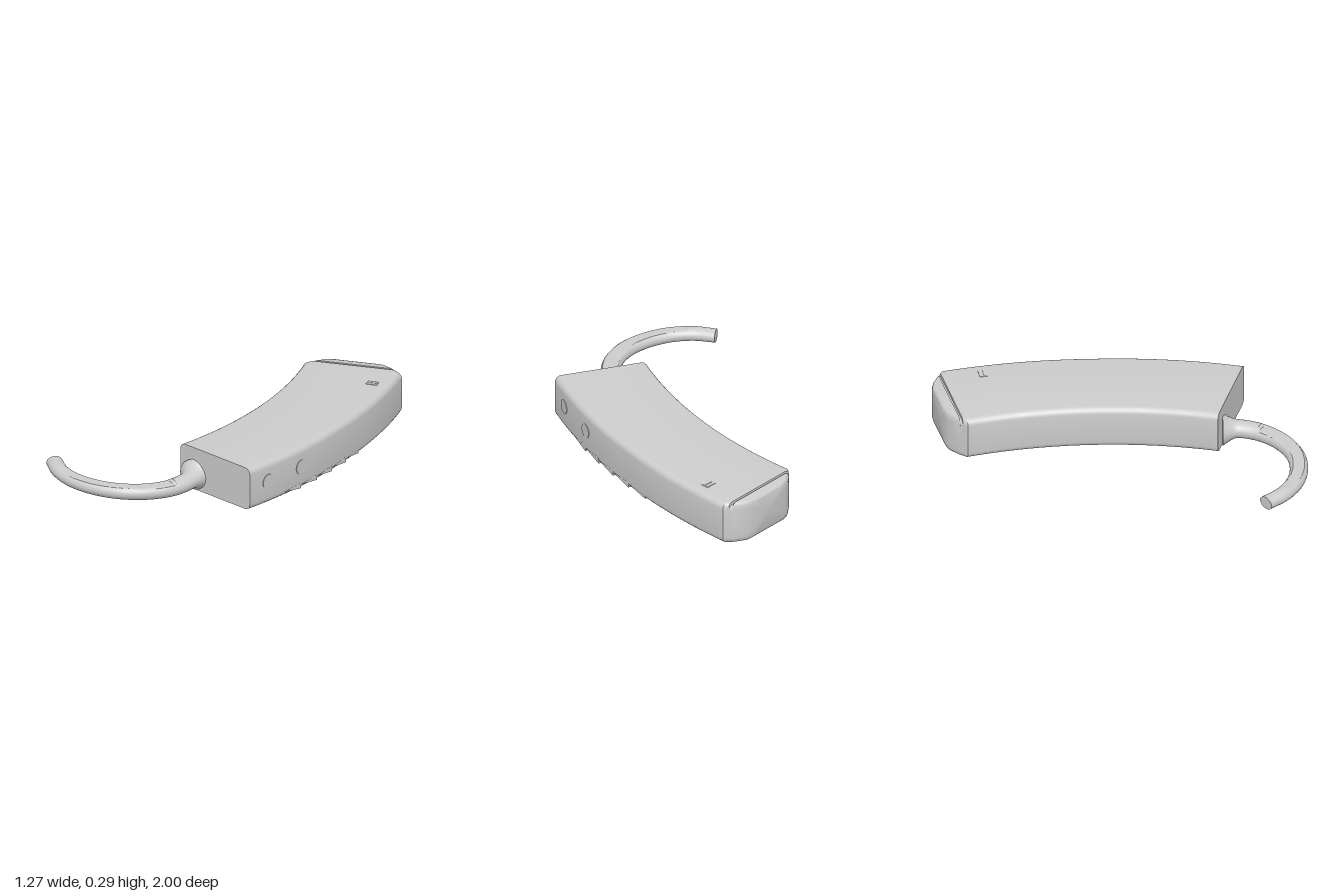
import * as THREE from 'three';
import { toCreasedNormals } from 'three/addons/utils/BufferGeometryUtils.js';

const CX = -2.42, CZ = -0.17;          // centre of the body's bend
const R_IN = 2.53, R_OUT = 3.05;       // inner and outer bend radii
const PHI_BACK = -0.257, PHI_FRONT = 0.274;
const topY = z => 0.273 + 0.0325 * z;  // the body slopes down to the back
const HEIGHT = 0.24;

const material = new THREE.MeshStandardMaterial({ color: 0xcccccc });

function add(group, name, geometry) {
  const mesh = new THREE.Mesh(geometry, material);
  mesh.name = name;
  group.add(mesh);
  return mesh;
}

// Skin a list of equal-length rings and close both ends
function loft(rings, crease = 0.6) {
  const n = rings[0].length, pos = [];
  const tri = (...pts) => pts.forEach(p => pos.push(p.x, p.y, p.z));
  for (let i = 0; i < rings.length - 1; i++) {
    for (let j = 0; j < n; j++) {
      const k = (j + 1) % n, a = rings[i], b = rings[i + 1];
      tri(a[j], a[k], b[k]);
      tri(a[j], b[k], b[j]);
    }
  }
  const cap = (ring, flip) => {
    const c = ring.reduce((s, p) => s.add(p), new THREE.Vector3()).divideScalar(n);
    ring.forEach((p, j) => {
      const q = ring[(j + 1) % n];
      flip ? tri(c, q, p) : tri(c, p, q);
    });
  };
  cap(rings[0], true);
  cap(rings[rings.length - 1], false);
  const g = new THREE.BufferGeometry();
  g.setAttribute('position', new THREE.Float32BufferAttribute(pos, 3));
  return toCreasedNormals(g, crease);
}

// Rounded rectangle across the bend; "back" moves it straight on past the back end
function section(phi, { back = 0, inset = 0, drop = 0, lift = 0, radius = 0.035 } = {}) {
  const lo = R_IN + inset;
  const hi = R_OUT + 0.02 * Math.max(0, phi / PHI_BACK) - inset;
  const ring = [], steps = 5;
  const corners = [[hi, 1, 0], [lo, -1, 0], [lo, -1, 1], [hi, 1, 1]];
  corners.forEach(([r, side, low], q) => {
    for (let s = 0; s <= steps; s++) {
      const a = (q + s / steps) * Math.PI / 2;
      const rr = r - side * radius + radius * Math.cos(a);
      const x = CX + rr * Math.cos(phi) + back * Math.sin(phi);
      const z = CZ + rr * Math.sin(phi) - back * Math.cos(phi);
      const base = low ? topY(z) - HEIGHT + lift + radius : topY(z) - drop - radius;
      ring.push(new THREE.Vector3(x, base + radius * Math.sin(a), z));
    }
  });
  return ring;
}

// Place something on the outer side of the body
function onOuterSide(mesh, z, y, r) {
  const phi = Math.asin((z - CZ) / R_OUT);
  mesh.position.set(CX + r * Math.cos(phi), y, CZ + r * Math.sin(phi));
  mesh.rotation.y = -phi;
}

export function createModel() {
  const model = new THREE.Group();
  model.name = 'hearingDevice';

  // Curved body
  const bodyRings = [];
  for (let i = 0; i <= 32; i++) {
    bodyRings.push(section(PHI_BACK + (PHI_FRONT - PHI_BACK) * i / 32));
  }
  add(model, 'body', loft(bodyRings));

  // Back cap with chamfered corners and a groove across the top
  const capRings = [
    { back: 0.092, inset: 0.135, drop: 0.012, lift: 0.03 },
    { back: 0.085, inset: 0.115, drop: 0.004, lift: 0.014 },
    { back: 0.072, inset: 0.088, lift: 0.004 },
    { back: 0.034, inset: 0.036 },
    { back: 0.033, inset: 0.035, drop: 0.015 },
    { back: 0.021, inset: 0.021, drop: 0.015 },
    { back: 0.02, inset: 0.02 },
    { back: 0, inset: 0 },
  ].map(o => section(PHI_BACK, o));
  add(model, 'backCap', loft(capRings));

  // Ear hook: flared at the body, with a flat cut along its top
  const path = new THREE.CatmullRomCurve3([
    [0.125, 0.135, 0.54], [0.128, 0.135, 0.63], [0.095, 0.133, 0.74], [0.01, 0.133, 0.845],
    [-0.12, 0.135, 0.922], [-0.265, 0.136, 0.946], [-0.41, 0.138, 0.922],
    [-0.525, 0.14, 0.858], [-0.608, 0.14, 0.77],
  ].map(p => new THREE.Vector3(...p)));
  const up = new THREE.Vector3(0, 1, 0);
  const hookRings = [];
  const N = 72, M = 28;
  for (let i = 0; i <= N; i++) {
    const t = i / N, c = path.getPointAt(t), dir = path.getTangentAt(t);
    const u = new THREE.Vector3().crossVectors(up, dir).normalize();
    const flare = 0.04 * Math.max(0, 1 - t / 0.09) ** 2;
    const rx = 0.055 - 0.01 * t + flare;
    const ry = 0.048 - 0.013 * t + flare;
    const cut = t > 0.2 && t < 0.86 ? 0.031 : 1;
    const ring = [];
    for (let j = 0; j < M; j++) {
      const a = j / M * Math.PI * 2;
      const p = c.clone().addScaledVector(u, rx * Math.cos(a));
      p.y += Math.min(ry * Math.sin(a), cut);
      ring.push(p);
    }
    hookRings.push(ring);
  }
  add(model, 'earHook', loft(hookRings, 0.5));

  // Round ports on the outer side
  for (const [z, y] of [[0.52, 0.18], [0.25, 0.17]]) {
    const g = new THREE.CylinderGeometry(0.04, 0.04, 0.02, 32).rotateZ(-Math.PI / 2);
    onOuterSide(add(model, 'sidePort', g), z, y, R_OUT - 0.007);
  }

  // Saw-tooth grip along the lower outer edge
  for (let i = 0; i < 5; i++) {
    const z = 0.32 - i * 0.147;
    const tooth = new THREE.Shape([
      new THREE.Vector2(-0.07, 0), new THREE.Vector2(0.07, -0.025), new THREE.Vector2(0.07, 0.006),
    ]);
    const g = new THREE.ExtrudeGeometry(tooth, { depth: 0.02, bevelEnabled: false });
    g.rotateY(Math.PI / 2);
    onOuterSide(add(model, 'gripTooth', g), z, topY(z) - HEIGHT + 0.028, R_OUT - 0.02);
  }

  // Round details underneath: [x, z, radius, how far it stands out]
  for (const [x, z, r, out] of [[0.33, -0.11, 0.065, 0.012], [0.35, -0.45, 0.038, 0.003], [0.25, -0.72, 0.038, 0.003]]) {
    const disc = add(model, 'bottomDisc', new THREE.CylinderGeometry(r, r, 0.03, 32));
    disc.position.set(x, topY(z) - HEIGHT + 0.015 - out, z);
    disc.rotation.x = -0.0325;
  }

  // Small indicator window on top, in two strips
  for (const dz of [-0.011, 0.013]) {
    const strip = add(model, 'indicatorStrip', new THREE.BoxGeometry(0.062, 0.01, 0.019));
    strip.position.set(0.49 + dz * 0.2, topY(-0.735 + dz) - 0.002, -0.735 + dz);
    strip.rotation.y = 0.2;
  }

  return model;
}
